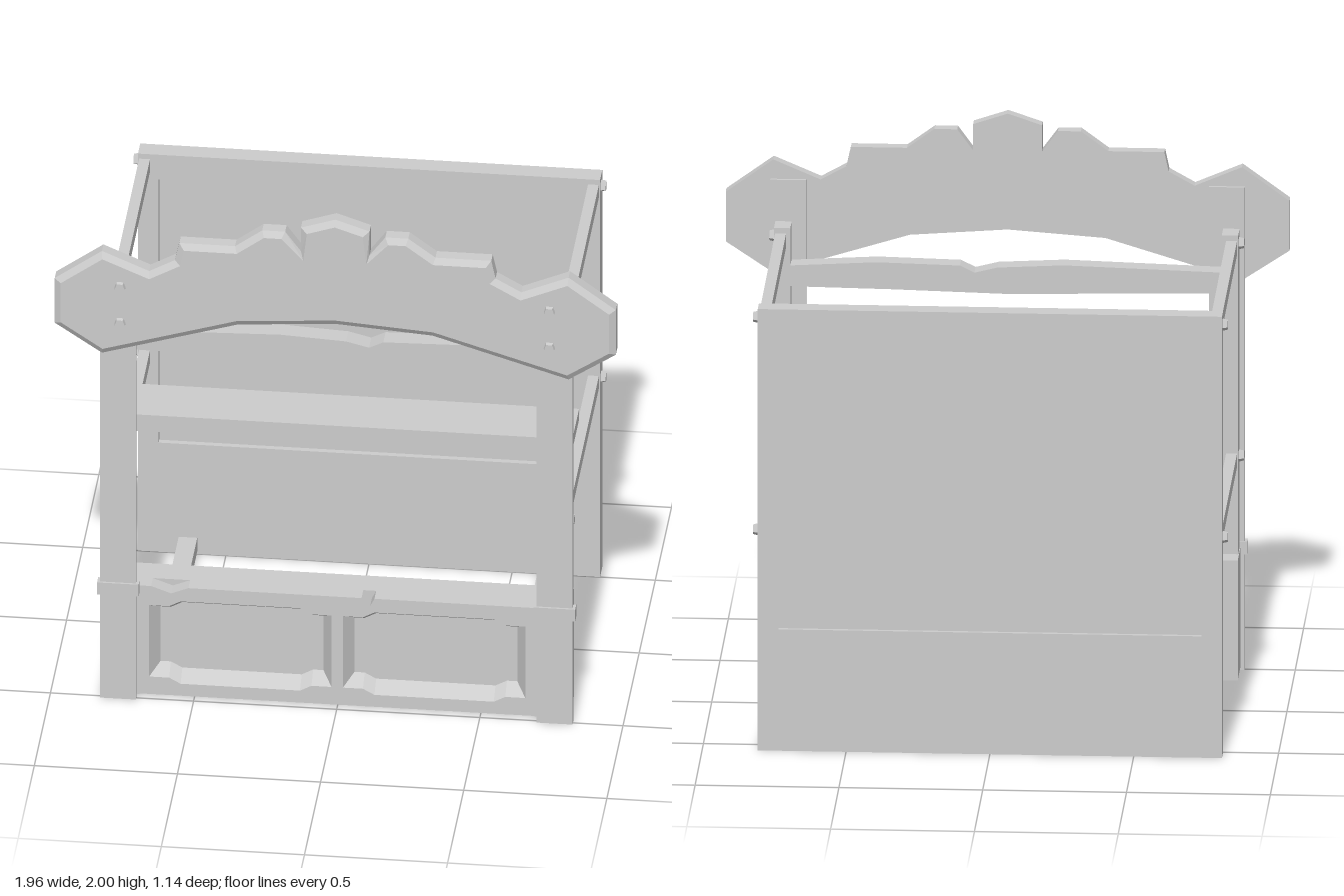
import * as THREE from 'three';

const mat = new THREE.MeshStandardMaterial({ color: 0xcccccc, flatShading: true });

export function createModel() {
  const root = new THREE.Group();

  const add = (name, geo, x = 0, y = 0, z = 0) => {
    const m = new THREE.Mesh(geo, mat);
    m.name = name;
    m.position.set(x, y, z);
    root.add(m);
    return m;
  };
  // box given by its min and max on each axis
  const box = (name, x0, x1, y0, y1, z0, z1) =>
    add(name, new THREE.BoxGeometry(x1 - x0, y1 - y0, z1 - z0), (x0 + x1) / 2, (y0 + y1) / 2, (z0 + z1) / 2);
  const toShape = pts => new THREE.Shape(pts.map(p => new THREE.Vector2(...p)));
  const slab = (name, pts, z0, z1, holes = []) => {
    const s = toShape(pts);
    holes.forEach(h => s.holes.push(new THREE.Path(h.map(p => new THREE.Vector2(...p)))));
    return add(name, new THREE.ExtrudeGeometry(s, { depth: z1 - z0, bevelEnabled: false }), 0, 0, z0);
  };
  const rect = (x0, x1, y0, y1) => [[x0, y0], [x1, y0], [x1, y1], [x0, y1]];
  // five-sided bolt head pointing along +z
  const boltGeo = new THREE.CylinderGeometry(0.018, 0.023, 0.02, 5);
  boltGeo.rotateX(Math.PI / 2);

  // scalloped sign board, chamfered on its front edge only
  const half = [[0.12, 1.96], [0.12, 1.865], [0.175, 1.94], [0.255, 1.94], [0.35, 1.87], [0.545, 1.87],
    [0.56, 1.80], [0.65, 1.75], [0.815, 1.82], [0.98, 1.70], [0.98, 1.52], [0.815, 1.41], [0.34, 1.555]];
  const outline = [[0, 2], ...half, [0, 1.58], ...half.slice().reverse().map(([x, y]) => [-x, y])];
  const sign = new THREE.ExtrudeGeometry(toShape(outline), {
    depth: 0.045, bevelEnabled: true, bevelSegments: 1, bevelSize: 0.022, bevelOffset: -0.022, bevelThickness: 0.015,
  });
  const p = sign.attributes.position;
  for (let i = 0; i < p.count; i++) p.setZ(i, Math.max(0, p.getZ(i)));
  sign.computeVertexNormals();
  add('signBoard', sign, 0, 0, 0.5);

  // mirrored parts of both sides
  for (const s of [1, -1]) {
    const side = (name, x0, x1, ...r) => box(name, Math.min(s * x0, s * x1), Math.max(s * x0, s * x1), ...r);
    side('frontPlank', 0.7, 0.825, 0, 1.75, 0.488, 0.512);
    side('frontPost', 0.75, 0.807, 0, 1.6, 0.405, 0.49);
    side('plankCollar', 0.69, 0.835, 0.42, 0.468, 0.484, 0.52);
    side('topSideRail', 0.765, 0.803, 1.53, 1.58, -0.51, 0.41);
    side('middleSideRail', 0.765, 0.803, 0.76, 0.81, -0.51, 0.41);
    side('floorRail', 0.6, 0.665, 0.01, 0.065, -0.51, 0.34);
    for (const y of [1.69, 1.545]) add('signBolt', boltGeo, s * 0.75, y, 0.563);
    for (const y of [1.56, 0.79]) for (const z of [0.45, -0.53])
      add('sideBolt', boltGeo, s * 0.815, y, z).rotation.y = s * Math.PI / 2;
  }

  // back wall: frame with a thinner inset panel
  slab('backFrame', rect(-0.807, 0.807, 0, 1.6), -0.57, -0.5, [rect(-0.735, 0.735, 0.44, 1.5)]);
  box('backPanel', -0.74, 0.74, 0.43, 1.51, -0.555, -0.52);

  // worn front cross beam
  slab('frontBeam', [[-0.755, 1.39], [0, 1.375], [0.4, 1.385], [0.755, 1.39], [0.755, 1.465], [0.45, 1.482],
    [0.16, 1.475], [0.11, 1.45], [0.03, 1.47], [-0.2, 1.482], [-0.755, 1.465]], 0.405, 0.475);

  // shelf board and the slat that carries it
  box('shelf', -0.768, 0.768, 0.81, 0.853, -0.197, 0.013);
  box('shelfSlat', -0.768, 0.768, 0.77, 0.812, -0.17, -0.015);

  // counter with two recessed panels
  box('counterBody', -0.81, 0.81, 0.01, 0.445, 0.33, 0.43);
  box('counterSide', -0.81, -0.69, 0.01, 0.445, 0.42, 0.489);
  box('counterSide', 0.69, 0.81, 0.01, 0.445, 0.42, 0.489);
  // panel edge loop, stepped outward along the middle
  const panel = (x0, x1, d) => {
    const a = x0 + d, b = x1 - d, lo = 0.08 + d, hi = 0.368 - d, k = 0.022;
    return [[a, lo], [x0 + 0.07, lo], [x0 + 0.11, lo - k], [x1 - 0.11, lo - k], [x1 - 0.07, lo], [b, lo],
      [b, hi], [x1 - 0.07, hi], [x1 - 0.11, hi + k], [x0 + 0.11, hi + k], [x0 + 0.07, hi], [a, hi]];
  };
  const spans = [[-0.657, -0.02], [0.02, 0.657]];
  slab('counterFront', [[-0.7, 0.01], [0.7, 0.01], [0.7, 0.445], [0.13, 0.445], [0.115, 0.415], [0.085, 0.445],
    [-0.52, 0.445], [-0.58, 0.42], [-0.65, 0.445], [-0.7, 0.445]], 0.425, 0.485,
  spans.map(([a, b]) => panel(a, b, 0)));
  for (const [x0, x1] of spans) {
    // splayed reveal between the front face and the recessed back
    const outer = panel(x0, x1, 0), inner = panel(x0, x1, 0.034), n = outer.length;
    const pos = [], idx = [];
    for (let i = 0; i < n; i++) {
      pos.push(...outer[i], 0.4851, ...inner[i], 0.431);
      const a = 2 * i, b = 2 * ((i + 1) % n);
      idx.push(a, b, b + 1, a, b + 1, a + 1);
    }
    const g = new THREE.BufferGeometry();
    g.setAttribute('position', new THREE.Float32BufferAttribute(pos, 3));
    g.setIndex(idx);
    const flat = g.toNonIndexed();
    flat.computeVertexNormals();
    add('panelReveal', flat);
  }
  return root;
}
